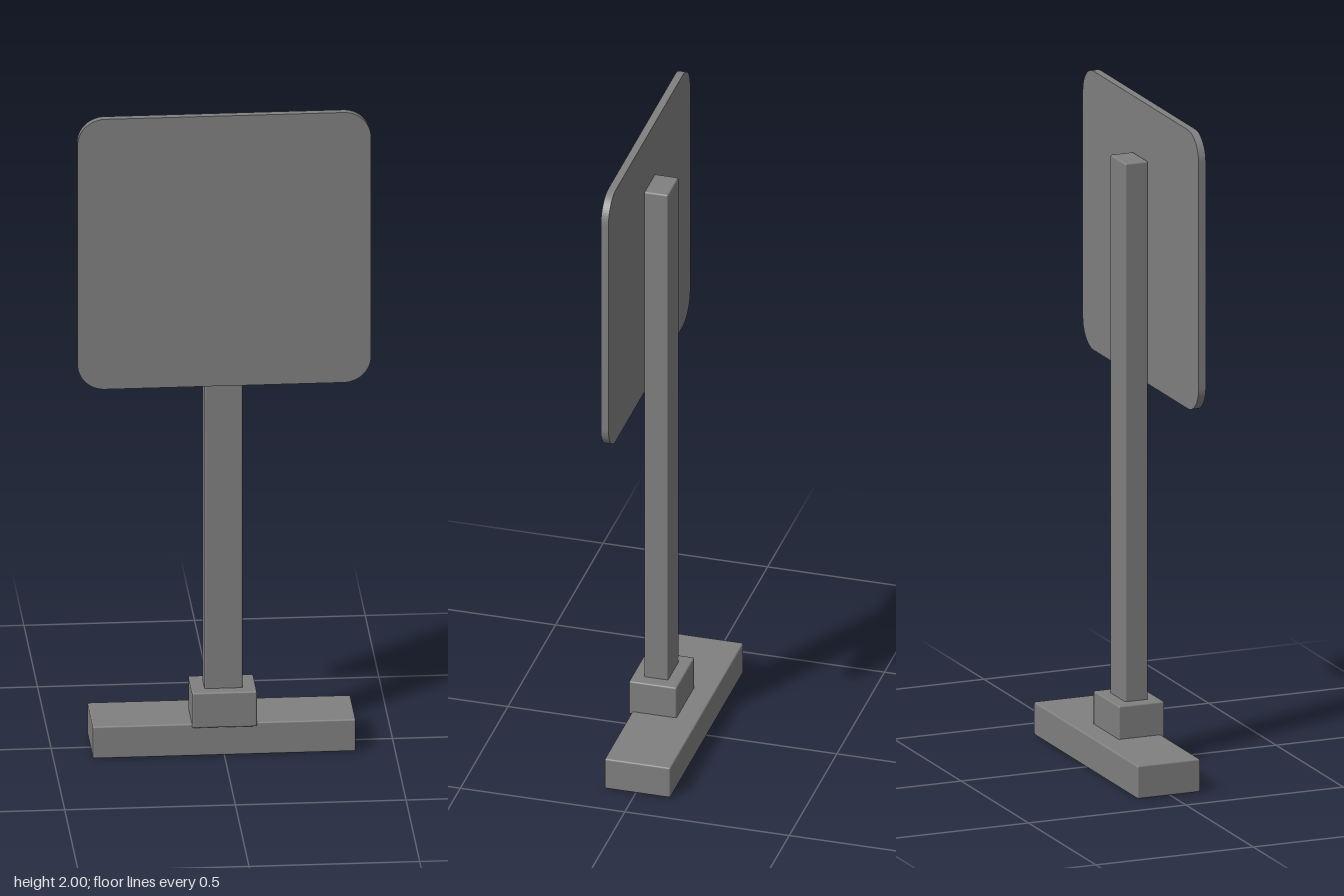
import * as THREE from 'three';
import { RoundedBoxGeometry } from 'three/addons/geometries/RoundedBoxGeometry.js';

export function createModel() {
  const group = new THREE.Group();
  const grey = new THREE.MeshStandardMaterial({ color: 0x808080 });
  grey.name = 'grey';

  const add = (name, geometry) => {
    const mesh = new THREE.Mesh(geometry, grey);
    mesh.name = name;
    group.add(mesh);
    return mesh;
  };

  // Softly edged box from its half width and its y and z limits
  const block = (name, halfX, y0, y1, z0, z1) => {
    const geometry = new RoundedBoxGeometry(halfX * 2, y1 - y0, z1 - z0, 2, 0.005);
    add(name, geometry).position.set(0, (y0 + y1) / 2, (z0 + z1) / 2);
  };

  block('base', 0.385, 0, 0.1, -0.105, 0.095);
  block('socket', 0.095, 0.09, 0.2, -0.04, 0.105);
  block('post', 0.056, 0.15, 1.83, -0.003, 0.07);

  // Sign panel: thin plate with rounded corners
  const w = 0.43, bottom = 1.155, top = 2, r = 0.08;
  const outline = new THREE.Shape();
  outline.absarc(w - r, bottom + r, r, -Math.PI / 2, 0);
  outline.absarc(w - r, top - r, r, 0, Math.PI / 2);
  outline.absarc(-w + r, top - r, r, Math.PI / 2, Math.PI);
  outline.absarc(-w + r, bottom + r, r, Math.PI, Math.PI * 1.5);
  outline.closePath();
  const panel = new THREE.ExtrudeGeometry(outline, { depth: 0.023, bevelEnabled: false, curveSegments: 8 });
  add('signPanel', panel).position.z = 0.07;

  return group;
}
